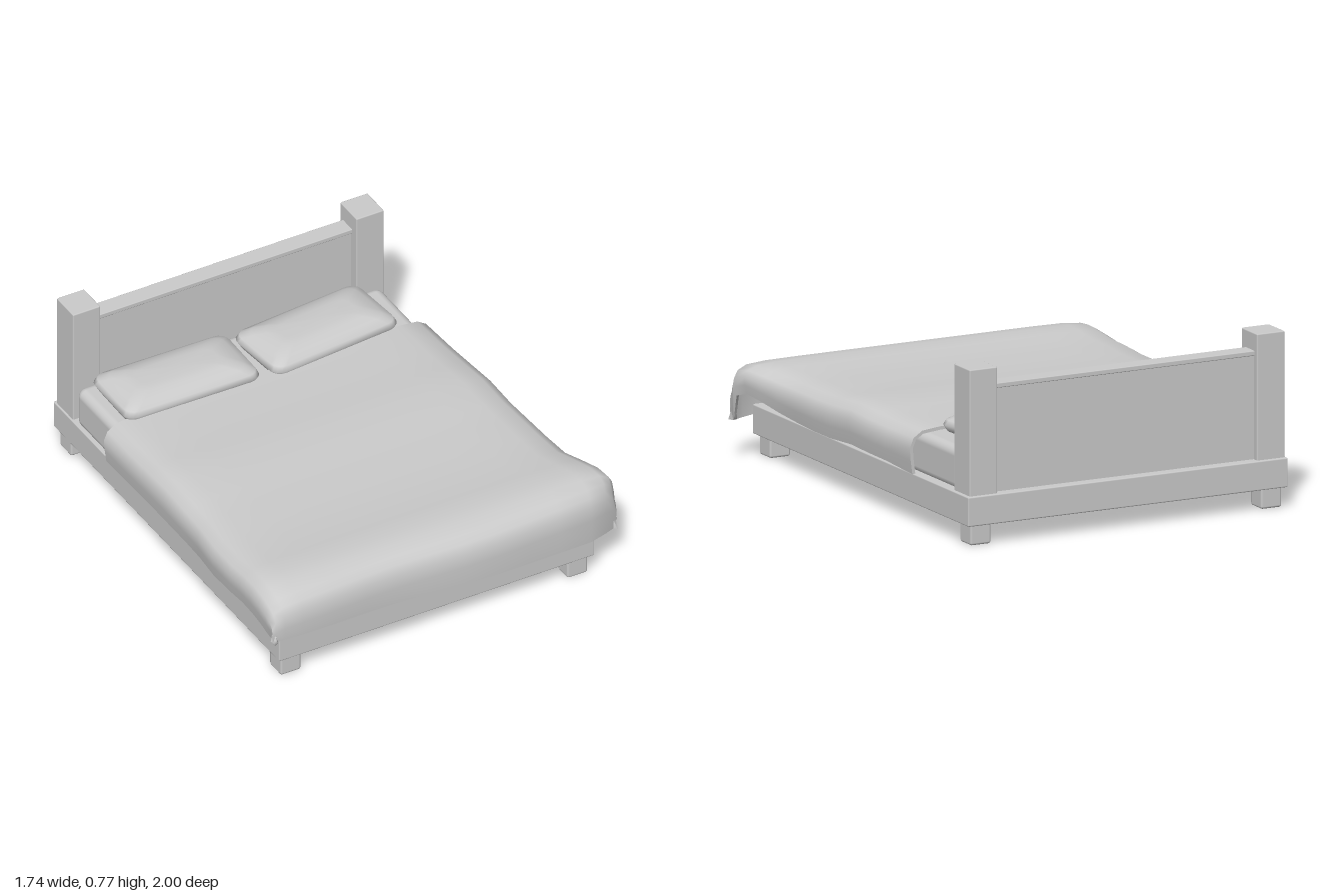
import * as THREE from 'three';
import { toCreasedNormals } from 'three/addons/utils/BufferGeometryUtils.js';
import { RoundedBoxGeometry } from 'three/addons/geometries/RoundedBoxGeometry.js';

const grey = new THREE.MeshStandardMaterial({ color: 0xcccccc });
const cloth = new THREE.MeshStandardMaterial({ color: 0xcccccc, side: THREE.DoubleSide });

// Slightly bevelled box given by its min and max corners
function block(name, [x0, y0, z0], [x1, y1, z1], bevel = 0.006, segments = 1) {
  const geo = new RoundedBoxGeometry(x1 - x0, y1 - y0, z1 - z0, segments, bevel);
  const mesh = new THREE.Mesh(geo, grey);
  mesh.name = name;
  mesh.position.set((x0 + x1) / 2, (y0 + y1) / 2, (z0 + z1) / 2);
  return mesh;
}

function meshData(positions, index) {
  const geo = new THREE.BufferGeometry();
  geo.setAttribute('position', new THREE.Float32BufferAttribute(positions, 3));
  geo.setIndex(index);
  geo.computeVertexNormals();
  return geo;
}

// Pillow: rounded rectangles stacked upward, each [inset, height]
function pillow(name, width, depth, x, z, turn) {
  const rings = [[0.06, 0], [0.015, 0.012], [0, 0.04], [0.012, 0.062], [0.05, 0.082], [0.1, 0.097], [0.14, 0.102]];
  const r = 0.05, steps = 4, n = 4 * (steps + 1);
  const pos = [], index = [];
  for (const [inset, y] of rings) {
    const hx = width / 2 - inset - r, hz = Math.max(depth / 2 - inset * 0.8 - r, 0);
    for (let q = 0; q < 4; q++) {
      const sx = q === 0 || q === 3 ? 1 : -1, sz = q < 2 ? 1 : -1;
      for (let s = 0; s <= steps; s++) {
        const a = (q + s / steps) * Math.PI / 2;
        pos.push(sx * hx + r * Math.cos(a), y, sz * hz + r * Math.sin(a));
      }
    }
  }
  for (let k = 0; k < rings.length - 1; k++) {
    for (let i = 0; i < n; i++) {
      const a = k * n + i, b = k * n + (i + 1) % n;
      index.push(a, a + n, b, b, a + n, b + n);
    }
  }
  const last = (rings.length - 1) * n, bottom = pos.length / 3;
  pos.push(0, 0, 0, 0, 0.104, 0);
  for (let i = 0; i < n; i++) {
    const j = (i + 1) % n;
    index.push(bottom, i, j, bottom + 1, last + j, last + i);
  }
  const mesh = new THREE.Mesh(meshData(pos, index), grey);
  mesh.name = name;
  mesh.position.set(x, 0.388, z);
  mesh.rotation.y = turn;
  return mesh;
}

// Blanket: cross-sections from the head end to the front, then down the front drape
function blanket() {
  // z, top height, left and right extents (-x, +x), hem heights (-x, +x)
  const rows = [
    [-0.51, 0.418, -0.85, 0.75, 0.225, 0.22],
    [-0.3, 0.417, -0.85, 0.76, 0.23, 0.235],
    [-0.15, 0.424, -0.85, 0.768, 0.235, 0.24],
    [0, 0.433, -0.85, 0.775, 0.235, 0.247],
    [0.17, 0.42, -0.85, 0.78, 0.235, 0.237],
    [0.3, 0.418, -0.853, 0.787, 0.235, 0.24],
    [0.45, 0.418, -0.868, 0.793, 0.24, 0.248],
    [0.6, 0.42, -0.87, 0.802, 0.25, 0.262],
    [0.7, 0.43, -0.87, 0.83, 0.26, 0.29],
    [0.79, 0.437, -0.872, 0.855, 0.26, 0.31],
    [0.86, 0.43, -0.872, 0.868, 0.25, 0.29],
    [0.92, 0.412, -0.872, 0.868, 0.235, 0.2],
    [0.955, 0.39, -0.872, 0.862, 0.23, 0.175],
    [0.975, 0.35, -0.872, 0.86, 0.23, 0.172],
    [0.982, 0.29, -0.872, 0.858, 0.23, 0.172],
    [0.98, 0.2, -0.872, 0.855, 0.23, 0.172],
  ];
  // side drape, [inset from the extent, share of the drop]
  const side = [[0.012, 1], [0.004, 0.7], [0, 0.42], [0.018, 0.2], [0.06, 0.06], [0.15, 0.01]];
  const flat = 8, cols = side.length * 2 + flat;
  const lerp = THREE.MathUtils.lerp;
  const pos = [], index = [];
  rows.forEach(([z, top, xl, xr, hemL, hemR], k) => {
    const front = THREE.MathUtils.smoothstep(z, 0.84, 0.975);
    for (let c = 0; c < cols; c++) {
      const m = cols - 1 - c, onLeft = c < side.length, onRight = m < side.length;
      let x, drop = 0;
      if (onLeft) { x = xl + side[c][0]; drop = side[c][1]; }
      else if (onRight) { x = xr - side[m][0]; drop = side[m][1]; }
      else x = lerp(xl + 0.15, xr - 0.15, (c - side.length + 1) / (flat + 1));
      const t = (x - xl) / (xr - xl);
      const hem = k === rows.length - 1 ? lerp(0.23, 0.172, t) : lerp(hemL, hemR, onLeft ? 0 : onRight ? 1 : t);
      const y = k === rows.length - 1 ? hem : lerp(Math.max(top, hem), hem, drop);
      // soft waves along the front, with the +x corner pulled back
      const wave = 0.008 * Math.cos((x + 0.72) * 7) - 0.07 * Math.max(0, (x - 0.66) / 0.2) ** 1.4;
      pos.push(x, y, z + front * wave);
    }
  });
  const n = pos.length / 3;
  const quad = (a, b, c, d) => index.push(a, b, c, a, c, d);
  for (let k = 0; k < rows.length - 1; k++)
    for (let c = 0; c < cols - 1; c++) {
      const a = k * cols + c;
      quad(a, a + cols, a + cols + 1, a + 1);
    }
  // thickness: inner copy pushed in along the normals, joined at the hem
  const normal = meshData(pos, index).attributes.normal.array;
  for (let i = 0; i < n * 3; i++) pos.push(pos[i] - normal[i] * 0.015);
  const outer = index.slice();
  for (let i = 0; i < outer.length; i += 3) index.push(outer[i] + n, outer[i + 2] + n, outer[i + 1] + n);
  const rim = (a, b) => quad(a, b, b + n, a + n);
  const end = (rows.length - 1) * cols;
  for (let c = 0; c < cols - 1; c++) {
    rim(c, c + 1);
    rim(end + c + 1, end + c);
  }
  for (let k = 0; k < rows.length - 1; k++) {
    rim((k + 1) * cols, k * cols);
    rim((k + 1) * cols - 1, (k + 2) * cols - 1);
  }
  const mesh = new THREE.Mesh(toCreasedNormals(meshData(pos, index), 1.1), cloth);
  mesh.name = 'blanket';
  return mesh;
}

export function createModel() {
  const bed = new THREE.Group();
  bed.name = 'bed';

  // Base frame and legs
  bed.add(block('frame', [-0.82, 0.09, -1], [0.73, 0.22, 0.95]));
  for (const x of [-0.803, 0.605])
    for (const z of [-0.975, 0.835])
      bed.add(block('leg', [x, 0, z], [x + 0.1, 0.1, z + 0.1], 0.01));

  // Headboard
  for (const x of [-0.812, 0.58])
    bed.add(block('headboardPost', [x, 0.21, -0.985], [x + 0.135, 0.775, -0.842]));
  bed.add(block('headboardPanel', [-0.69, 0.21, -0.955], [0.59, 0.685, -0.89], 0.002));
  bed.add(block('headboardCap', [-0.69, 0.675, -0.962], [0.59, 0.697, -0.88], 0.004));

  // Bedding
  bed.add(block('mattress', [-0.805, 0.2, -0.835], [0.69, 0.395, 0.9], 0.04, 3));
  bed.add(pillow('pillow', 0.66, 0.34, -0.42, -0.64, -0.02));
  bed.add(pillow('pillow', 0.65, 0.34, 0.268, -0.642, 0.09));
  bed.add(blanket());
  return bed;
}
